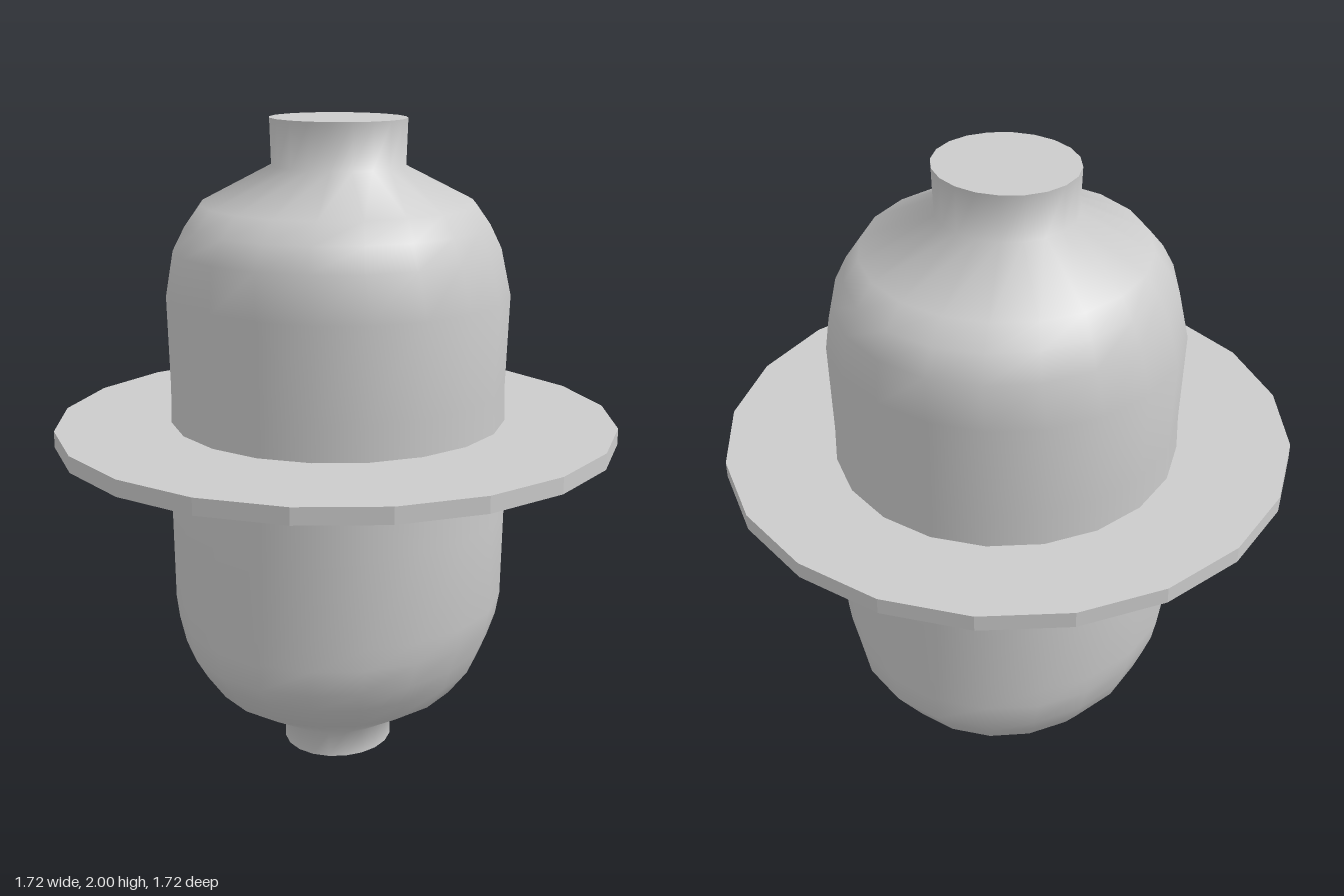
import * as THREE from 'three';
import { toCreasedNormals } from 'three/addons/utils/BufferGeometryUtils.js';

const SIDES = 20;

// Closed solid lofted through elliptical rings [y, radiusX, radiusZ], bottom to top
function loft(rings) {
  const pos = [], index = [];
  for (const [y, rx, rz] of rings) {
    for (let i = 0; i < SIDES; i++) {
      const a = (i / SIDES) * Math.PI * 2;
      pos.push(Math.sin(a) * rx, y, Math.cos(a) * rz);
    }
  }
  const last = (rings.length - 1) * SIDES;
  const bottom = rings.length * SIDES, top = bottom + 1;
  pos.push(0, rings[0][0], 0, 0, rings[rings.length - 1][0], 0);
  for (let i = 0; i < SIDES; i++) {
    const j = (i + 1) % SIDES;
    for (let r = 0; r < last; r += SIDES) {
      index.push(r + i, r + j, r + SIDES + j, r + i, r + SIDES + j, r + SIDES + i);
    }
    index.push(bottom, j, i, top, last + i, last + j); // end caps
  }
  const geo = new THREE.BufferGeometry();
  geo.setAttribute('position', new THREE.Float32BufferAttribute(pos, 3));
  geo.setIndex(index);
  return toCreasedNormals(geo, 1.25);
}

export function createModel() {
  const group = new THREE.Group();
  group.name = 'flangedVessel';

  // Rounded vessel with a short neck at each end, slightly off the flange centre
  const vessel = new THREE.Mesh(
    loft([
      [0, 0.17, 0.185],
      [0.08, 0.17, 0.185],
      [0.22, 0.39, 0.42],
      [0.3, 0.45, 0.475],
      [0.37, 0.477, 0.525],
      [0.45, 0.505, 0.525],
      [0.52, 0.518, 0.525],
      [0.8, 0.523, 0.525],
      [1.2, 0.513, 0.525],
      [1.48, 0.523, 0.525],
      [1.62, 0.488, 0.525],
      [1.69, 0.455, 0.48],
      [1.75, 0.415, 0.42],
      [1.86, 0.205, 0.193],
      [2, 0.21, 0.195],
    ]),
    new THREE.MeshStandardMaterial({ color: 0xcccccc })
  );
  vessel.name = 'vessel';
  vessel.position.set(-0.015, 0, -0.045);
  group.add(vessel);

  // Flat faceted flange around the middle
  const flange = new THREE.Mesh(
    new THREE.CylinderGeometry(0.86, 0.86, 0.05, SIDES),
    new THREE.MeshStandardMaterial({ color: 0xcccccc, flatShading: true })
  );
  flange.name = 'flange';
  flange.position.y = 1.065;
  group.add(flange);

  return group;
}
